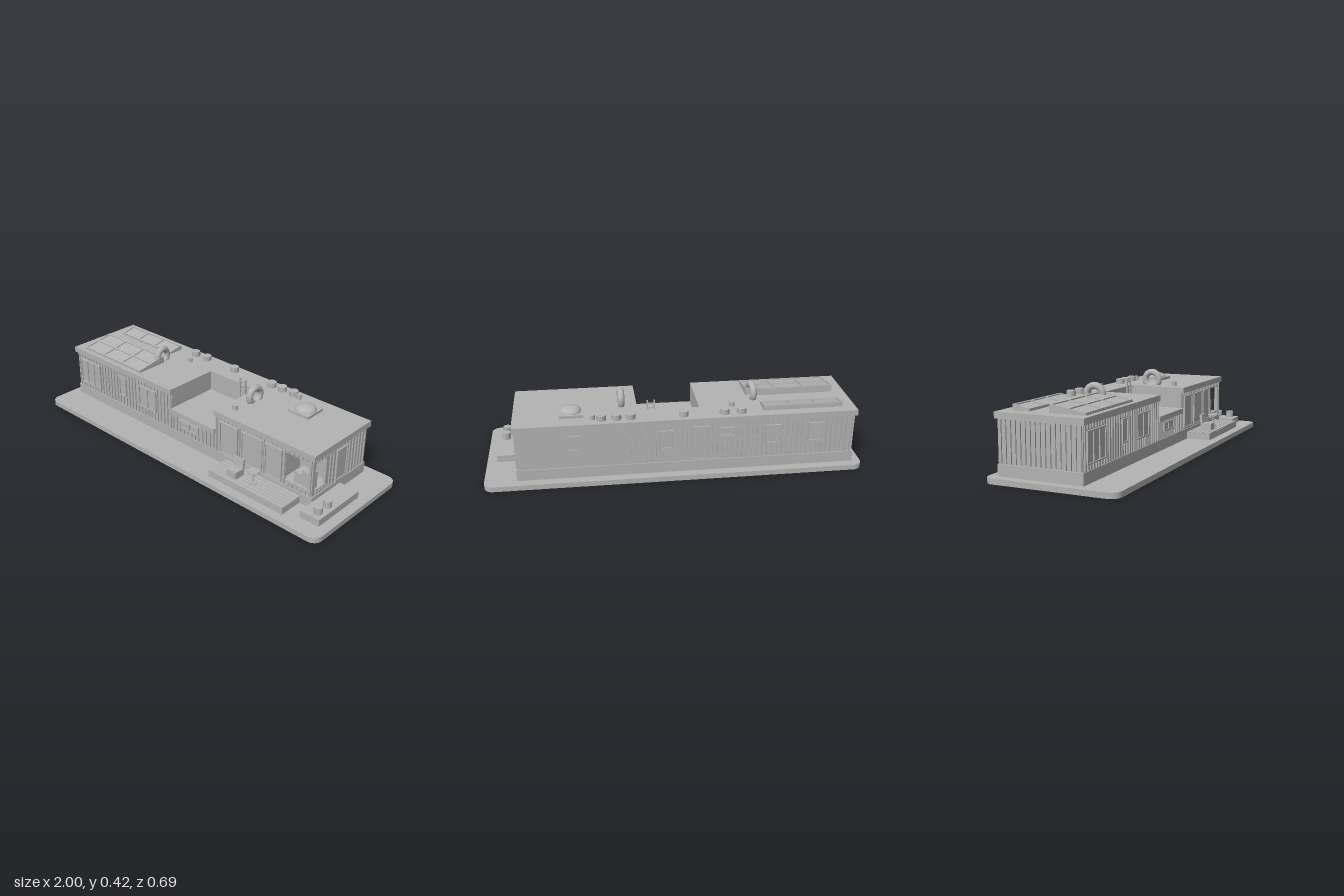
import * as THREE from 'three';

const grey = new THREE.MeshStandardMaterial({ color: 0xb3b3b3 });
grey.name = 'plain grey';

function add(parent, name, geometry, x = 0, y = 0, z = 0) {
  const mesh = new THREE.Mesh(geometry, grey);
  mesh.name = name;
  mesh.position.set(x, y, z);
  parent.add(mesh);
  return mesh;
}

// Box given by its limits on each axis
function box(parent, name, x0, x1, y0, y1, z0, z1) {
  return add(parent, name, new THREE.BoxGeometry(x1 - x0, y1 - y0, z1 - z0),
    (x0 + x1) / 2, (y0 + y1) / 2, (z0 + z1) / 2);
}

// Upright cylinder standing on y0
function post(parent, name, x, z, r, y0, y1, rBottom = r) {
  return add(parent, name, new THREE.CylinderGeometry(r, rBottom, y1 - y0, 24), x, (y0 + y1) / 2, z);
}

function group(parent, name) {
  const g = new THREE.Group();
  g.name = name;
  parent.add(g);
  return g;
}

// Wall panel with a rectangular hole, extruded towards +z
function holedPanel(u0, u1, y0, y1, hole, depth) {
  const rect = (C, a, b, c, d) => {
    const p = new C();
    p.moveTo(a, c); p.lineTo(b, c); p.lineTo(b, d); p.lineTo(a, d); p.closePath();
    return p;
  };
  const s = rect(THREE.Shape, u0, u1, y0, y1);
  s.holes.push(rect(THREE.Path, ...hole));
  return new THREE.ExtrudeGeometry(s, { depth, bevelEnabled: false });
}

// Framed window or door: u0, u1, y0, y1, number of panes
function windowUnit(wall, name, [u0, u1, y0, y1, panes = 1]) {
  const g = group(wall, name), f = 0.007, d = 0.01;
  box(g, 'glass', u0, u1, y0, y1, -0.002, 0.004);
  box(g, 'sill', u0, u1, y0, y0 + f, 0, d);
  box(g, 'head', u0, u1, y1 - f, y1, 0, d);
  for (let i = 0; i <= panes; i++) {
    const u = u0 + f / 2 + (u1 - u0 - f) * i / panes;
    box(g, 'frameBar', u - f / 2, u + f / 2, y0, y1, 0, d);
  }
}

// Battens between u0 and u1, interrupted by the openings
function battens(wall, u0, u1, top, openings) {
  const n = Math.round((u1 - u0) / 0.0267);
  for (let i = 0; i <= n; i++) {
    const u = u0 + (u1 - u0) * i / n;
    let y = 0.09;
    const put = (a, b) => { if (b - a > 0.006) box(wall, 'batten', u - 0.004, u + 0.004, a, b, -0.001, 0.007); };
    const hit = openings.find(o => u > o[0] - 0.005 && u < o[1] + 0.005);
    if (hit) { put(y, hit[2] - 0.005); y = hit[3] + 0.005; }
    put(y, top);
  }
}

function solarPanel(parent, x0, x1, z0, z1, yBack, rows) {
  const g = group(parent, 'solarPanel'), yFront = 0.344, len = z1 - z0;
  // Wedge profile drawn in z and y, extruded along x
  const s = new THREE.Shape();
  s.moveTo(-z1, 0.33); s.lineTo(-z0, 0.33); s.lineTo(-z0, yBack - 0.006); s.lineTo(-z1, yFront - 0.006);
  const wedge = new THREE.ExtrudeGeometry(s, { depth: x1 - x0, bevelEnabled: false });
  wedge.rotateY(Math.PI / 2);
  add(g, 'panelBody', wedge, x0, 0, 0);
  // Raised frame lying on the slope
  const frame = group(g, 'panelFrame');
  frame.position.set((x0 + x1) / 2, (yFront + yBack) / 2 - 0.006, (z0 + z1) / 2);
  frame.rotation.x = Math.atan2(yBack - yFront, len);
  const w = x1 - x0, b = 0.009;
  for (let i = 0; i <= 3; i++) {
    const x = -w / 2 + b / 2 + (w - b) * i / 3;
    box(frame, 'frameBar', x - b / 2, x + b / 2, -0.002, 0.006, -len / 2, len / 2);
  }
  for (let i = 0; i <= rows; i++) {
    const z = -len / 2 + b / 2 + (len - b) * i / rows;
    box(frame, 'frameBar', -w / 2, w / 2, -0.002, 0.006, z - b / 2, z + b / 2);
  }
}

export function createModel() {
  const model = new THREE.Group();
  model.name = 'house';

  // Ground slab with rounded corners
  const r = 0.05, X = 1 - r, Z = 0.345 - r, slab = new THREE.Shape();
  slab.absarc(X, Z, r, 0, Math.PI / 2);
  slab.absarc(-X, Z, r, Math.PI / 2, Math.PI);
  slab.absarc(-X, -Z, r, Math.PI, Math.PI * 1.5);
  slab.absarc(X, -Z, r, Math.PI * 1.5, Math.PI * 2);
  const slabGeo = new THREE.ExtrudeGeometry(slab, { depth: 0.028, bevelEnabled: false });
  add(model, 'groundSlab', slabGeo.rotateX(-Math.PI / 2));

  box(model, 'plinth', -0.953, 0.832, 0.028, 0.087, -0.295, 0.158);

  // Main volumes, leaving a sunken terrace and an open corner room
  const body = group(model, 'walls');
  box(body, 'westWing', -0.945, -0.135, 0.087, 0.3, -0.29, 0.153);
  box(body, 'underTerrace', -0.135, 0.19, 0.087, 0.19, -0.29, 0.153);
  box(body, 'behindTerrace', -0.135, 0.19, 0.19, 0.3, -0.29, -0.157);
  box(body, 'eastWing', 0.19, 0.62, 0.087, 0.3, -0.29, 0.153);
  box(body, 'eastBack', 0.62, 0.825, 0.087, 0.3, -0.29, -0.02);
  add(body, 'roomFrontWall', holedPanel(0.62, 0.825, 0.087, 0.3, [0.66, 0.8, 0.118, 0.273], 0.012), 0, 0, 0.141);
  const sideWall = holedPanel(-0.141, 0.02, 0.087, 0.3, [-0.13, -0.045, 0.115, 0.27], 0.012);
  add(body, 'roomSideWall', sideWall.rotateY(Math.PI / 2), 0.813, 0, 0);
  box(body, 'roomCabinet', 0.735, 0.795, 0.087, 0.185, 0.07, 0.117);
  box(body, 'roomSeat', 0.69, 0.735, 0.087, 0.16, 0.045, 0.117);
  box(model, 'terraceFloor', -0.135, 0.19, 0.19, 0.217, -0.157, 0.167);

  // Flat roof with the terrace notch
  const roof = new THREE.Shape([[-0.96, -0.167], [-0.135, -0.167], [-0.135, 0.157], [0.19, 0.157],
    [0.19, -0.167], [0.84, -0.167], [0.84, 0.302], [-0.96, 0.302]].map(p => new THREE.Vector2(...p)));
  const roofGeo = new THREE.ExtrudeGeometry(roof, { depth: 0.032, bevelEnabled: false });
  add(model, 'roof', roofGeo.rotateX(-Math.PI / 2), 0, 0.3, 0);

  // Cladding per side: position, turn, batten runs [u0, u1, top], windows, bare openings
  const sides = [
    ['frontCladding', [0, 0, 0.153], 0, [[-0.935, -0.145, 0.297], [-0.125, 0.18, 0.188], [0.2, 0.815, 0.297]],
      [[-0.92, -0.74, 0.115, 0.27, 3], [-0.57, -0.51, 0.15, 0.27], [-0.4, -0.26, 0.14, 0.27, 2],
        [-0.07, 0.07, 0.125, 0.175, 2], [0.225, 0.35, 0.095, 0.28], [0.375, 0.515, 0.095, 0.28],
        [0.53, 0.64, 0.095, 0.28]], [[0.66, 0.8, 0.118, 0.273]]],
    ['backCladding', [0, 0, -0.29], Math.PI, [[-0.5, 0.935, 0.297]],
      [[-0.56, -0.5, 0.18, 0.27], [-0.09, -0.015, 0.165, 0.27], [0.08, 0.17, 0.092, 0.285],
        [0.22, 0.3, 0.225, 0.27, 2], [0.47, 0.55, 0.165, 0.27], [0.7, 0.78, 0.165, 0.27]], []],
    ['rightCladding', [0.825, 0, 0], Math.PI / 2, [[-0.124, 0.276, 0.297]],
      [[0.032, 0.124, 0.092, 0.272]], [[-0.13, -0.045, 0.115, 0.27]]],
    ['leftCladding', [-0.945, 0, 0], -Math.PI / 2, [[-0.276, 0.144, 0.297]], [], []],
  ];
  for (const [name, pos, turn, runs, windows, holes] of sides) {
    const wall = group(model, name);
    wall.position.set(...pos);
    wall.rotation.y = turn;
    windows.forEach(w => windowUnit(wall, 'window', w));
    runs.forEach(([a, b, top]) => battens(wall, a, b, top, [...windows, ...holes]));
  }

  // Roof equipment
  solarPanel(model, -0.89, -0.41, -0.05, 0.138, 0.374, 2);
  solarPanel(model, -0.89, -0.465, -0.247, -0.155, 0.362, 1);
  for (const x of [-0.345, -0.255, -0.04, 0.235, 0.307, 0.385]) post(model, 'roofVent', x, -0.25, 0.025, 0.33, 0.36);
  for (const [x, z] of [[0.43, -0.238], [-0.31, -0.165], [0.262, 0.08]]) post(model, 'smallVent', x, z, 0.014, 0.33, 0.357);
  for (const [x, tilt] of [[-0.435, 0.12], [0.272, 0]]) {
    const ring = add(model, 'roofRing', new THREE.TorusGeometry(0.042, 0.018, 20, 48), x, 0.363, -0.062);
    ring.rotation.y = Math.PI / 2 + tilt;
  }
  box(model, 'skylightBase', 0.475, 0.602, 0.33, 0.347, -0.217, -0.088);
  const dome = add(model, 'skylightDome',
    new THREE.SphereGeometry(0.057, 32, 12, 0, Math.PI * 2, 0, Math.PI / 2), 0.54, 0.346, -0.152);
  dome.scale.y = 0.5;

  // Ladder from the terrace to the roof
  const ladder = group(model, 'ladder');
  for (const x of [0.1, 0.137]) box(ladder, 'rail', x - 0.004, x + 0.004, 0.215, 0.377, -0.146, -0.136);
  for (let i = 0; i < 6; i++) box(ladder, 'rung', 0.1, 0.137, 0.232 + i * 0.025, 0.238 + i * 0.025, -0.144, -0.138);

  // Front deck with planks, and side platform with pots
  box(model, 'deckBase', 0.275, 0.76, 0.028, 0.06, 0.155, 0.295);
  for (let i = 0; i < 6; i++) {
    const z = 0.158 + i * 0.0232;
    box(model, 'deckPlank', 0.275, 0.76, 0.06, 0.067, z, z + 0.02);
  }
  box(model, 'sidePlatform', 0.832, 0.945, 0.028, 0.065, -0.077, 0.249);
  for (const z of [0.13, 0.204]) post(model, 'plantPot', 0.905, z, 0.022, 0.065, 0.102);

  // Lounge chair and round table
  const chair = group(model, 'chair');
  box(chair, 'seat', 0.375, 0.438, 0.067, 0.106, 0.205, 0.268);
  const back = box(chair, 'backrest', 0.375, 0.438, 0.08, 0.155, 0.2, 0.214);
  back.rotation.x = -0.12;
  post(model, 'tableTop', 0.52, 0.227, 0.03, 0.134, 0.139);
  post(model, 'tableStem', 0.52, 0.227, 0.004, 0.067, 0.135);
  post(model, 'tableFoot', 0.52, 0.227, 0.018, 0.066, 0.071);

  return model;
}
